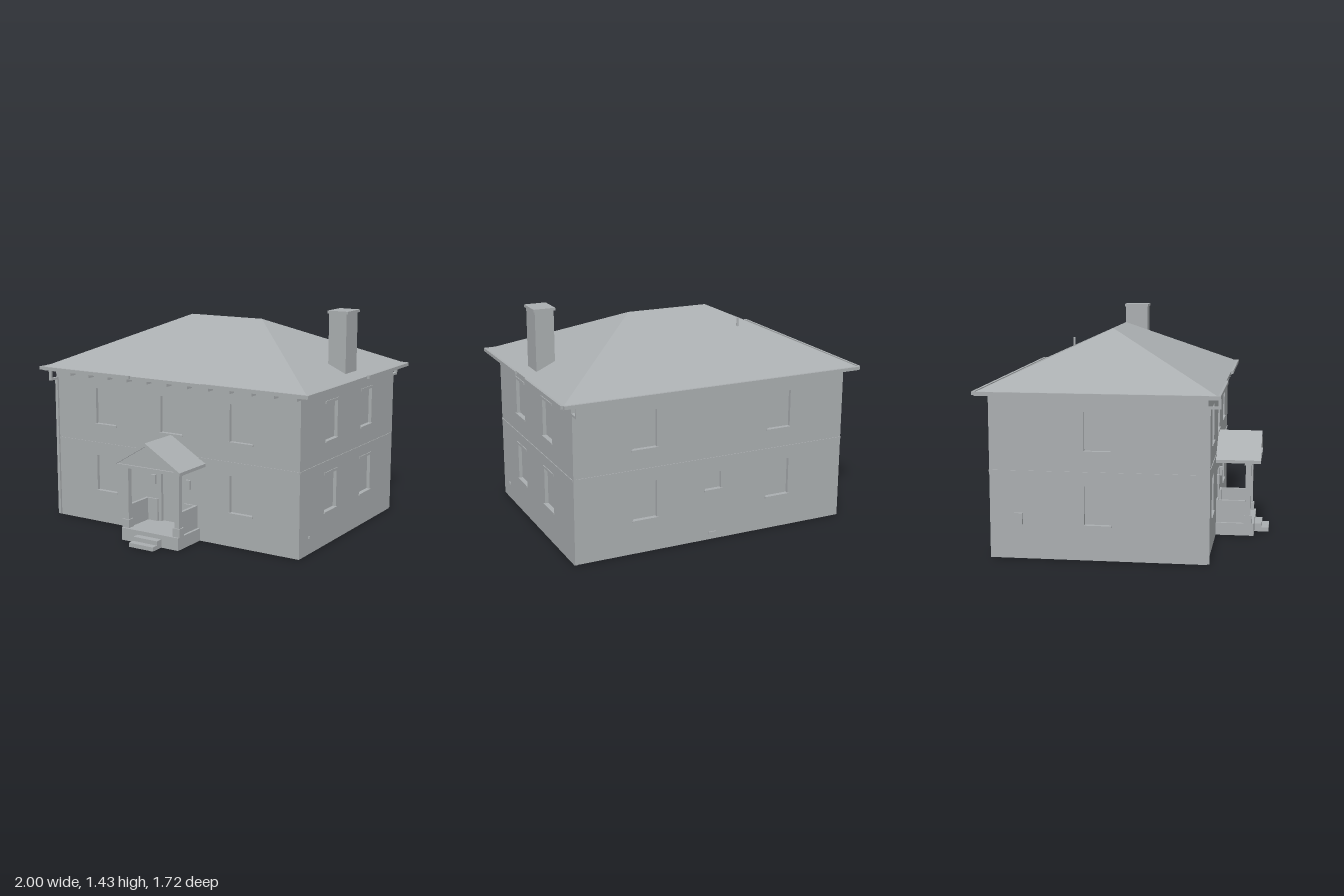
import * as THREE from 'three';

const grey = new THREE.MeshStandardMaterial({ color: 0xaaaeb0, flatShading: true, side: THREE.DoubleSide });
grey.name = 'plain grey';

// Body extents
const X0 = -0.92, X1 = 0.915, Z0 = -0.78, Z1 = 0.525, TOP = 0.99, T = 0.028;

function add(parent, name, geometry) {
  const m = new THREE.Mesh(geometry, grey);
  m.name = name;
  parent.add(m);
  return m;
}

// Box given by its limits on each axis
function box(parent, name, x0, x1, y0, y1, z0, z1) {
  const m = add(parent, name, new THREE.BoxGeometry(x1 - x0, y1 - y0, z1 - z0));
  m.position.set((x0 + x1) / 2, (y0 + y1) / 2, (z0 + z1) / 2);
  return m;
}

function polygon(points, Kind = THREE.Shape) {
  return new Kind(points.map(p => new THREE.Vector2(p[0], p[1])));
}

// Wall whose outer face is local z = 0, with recessed openings [x, y0, y1, width, head, sill]
function wall(parent, name, width, openings) {
  const g = new THREE.Group();
  g.name = name;
  parent.add(g);
  const h = width / 2;
  const shape = polygon([[-h, 0], [h, 0], [h, TOP], [-h, TOP]]);
  for (const [x, y0, y1, w, head, sill] of openings) {
    const a = x - w / 2, b = x + w / 2;
    shape.holes.push(polygon([[a, y0], [a, y1], [b, y1], [b, y0]], THREE.Path));
    box(g, sill ? 'windowPane' : 'door', a, b, y0, y1, -T, -T + 0.006);
    if (sill) box(g, 'windowSill', a - 0.006, b + 0.006, y0 - 0.01, y0, -T, 0.008);
    if (head) box(g, 'windowHead', a - 0.008, b + 0.008, y1, y1 + 0.016, -0.005, 0.005);
  }
  const geo = new THREE.ExtrudeGeometry(shape, { depth: T, bevelEnabled: false });
  geo.translate(0, 0, -T);
  add(g, 'wallPanel', geo);
  // Thin belt course between the storeys
  box(g, 'beltCourse', -h, h, 0.525, 0.537, 0, 0.004);
  return g;
}

const pair = (x, head) => [[x, 0.662, 0.895, 0.16, head, true], [x, 0.215, 0.45, 0.16, head, true]];

function buildWalls(house) {
  const cx = (X0 + X1) / 2, cz = (Z0 + Z1) / 2, w = X1 - X0, d = Z1 - Z0;
  const front = wall(house, 'frontWall', w, [
    ...pair(-0.51 - cx, false), ...pair(0.51 - cx, false),
    [-cx, 0.662, 0.895, 0.16, false, true], [-cx, 0.08, 0.4, 0.16, false, false]]);
  front.position.set(cx, 0, Z1);

  const left = wall(house, 'leftWall', d, [...pair(-0.25, true), ...pair(0.245, true)]);
  left.rotation.y = Math.PI / 2;
  left.position.set(X1, 0, cz);

  const back = wall(house, 'backWall', w, [
    ...pair(-0.46, false), ...pair(0.455, false), [0, 0.33, 0.44, 0.11, false, true]]);
  back.rotation.y = Math.PI;
  back.position.set(cx, 0, Z0);

  const right = wall(house, 'rightWall', d, pair(0, false));
  right.rotation.y = -Math.PI / 2;
  right.position.set(X0, 0, cz);

  // Small fittings
  box(house, 'meterBox', -0.938, X0, 0.21, 0.28, -0.63, -0.58);
  box(house, 'sideTap', X1, X1 + 0.008, 0.1, 0.115, 0.395, 0.41);
  box(house, 'backVent', -0.025, 0.025, 0.035, 0.05, Z0 - 0.008, Z0);
}

function buildRoof(house) {
  const ex = 0.985, zf = 0.585, zb = -0.845, y0 = 1.008, y1 = 1.335, r = 0.27, zr = -0.13;
  // Hip roof: four slopes meeting at a short ridge
  const A = [-ex, y0, zf], B = [ex, y0, zf], C = [ex, y0, zb], D = [-ex, y0, zb];
  const L = [-r, y1, zr], R = [r, y1, zr];
  const tris = [A, B, R, A, R, L, B, C, R, C, D, L, C, L, R, D, A, L];
  const geo = new THREE.BufferGeometry();
  geo.setAttribute('position', new THREE.Float32BufferAttribute(tris.flat(), 3));
  geo.computeVertexNormals();
  add(house, 'hipRoof', geo);
  box(house, 'eaves', -ex, ex, 0.987, y0, zb, zf);

  // Gutters, broken at the front centre and beside the chimney
  const g0 = 0.992, g1 = 1.013;
  box(house, 'backGutter', -ex, ex, g0, g1, -0.862, zb);
  box(house, 'rightGutter', -1, -ex, g0, g1, zb, zf);
  for (const s of [-1, 1])
    box(house, 'frontGutter', Math.min(s * r, s), Math.max(s * r, s), g0, g1, zf, 0.6);
  box(house, 'leftGutter', ex, 1, g0, g1, zb, -0.22);
  box(house, 'leftGutter', ex, 1, g0, g1, -0.045, zf);

  // Brackets under the front eave
  for (let i = -5; i <= 6; i++) {
    const x = i * 0.152;
    box(house, 'eaveBracket', x - 0.005, x + 0.005, 0.967, 0.988, Z1, 0.58);
  }

  // Downspouts with an offset under the eave
  for (const [x, z, s] of [[-0.91, Z1, 1], [0.905, Z0, -1]]) {
    const span = (a, b) => [Math.min(z + s * a, z + s * b), Math.max(z + s * a, z + s * b)];
    box(house, 'downspout', x - 0.01, x + 0.01, 0.005, 0.94, ...span(0, 0.013));
    box(house, 'downspoutOffset', x - 0.01, x + 0.01, 0.926, 0.94, ...span(0, 0.075));
    box(house, 'downspoutOutlet', x - 0.01, x + 0.01, 0.926, 0.995, ...span(0.061, 0.075));
  }

  // Chimney and vent pipe
  box(house, 'chimney', 0.795, 0.915, 1.02, 1.41, -0.208, -0.052);
  box(house, 'chimneyCap', 0.787, 0.925, 1.41, 1.427, -0.216, -0.046);
  const pipe = add(house, 'ventPipe', new THREE.CylinderGeometry(0.007, 0.007, 0.1, 10));
  pipe.position.set(-0.385, 1.235, -0.36);
}

function buildPorch(house) {
  const porch = new THREE.Group();
  porch.name = 'porch';
  house.add(porch);
  box(porch, 'porchFloor', -0.213, 0.213, 0, 0.08, Z1, 0.77);
  box(porch, 'upperStep', -0.09, 0.09, 0, 0.053, 0.77, 0.817);
  box(porch, 'lowerStep', -0.09, 0.09, 0, 0.026, 0.817, 0.862);

  for (const s of [-1, 1]) {
    const side = (name, x, w, y0, y1, z0, z1) =>
      box(porch, name, s * x - w / 2, s * x + w / 2, y0, y1, z0, z1);
    side('columnPedestal', 0.19, 0.05, 0.08, 0.133, 0.705, 0.757);
    side('column', 0.19, 0.034, 0.133, 0.462, 0.714, 0.748);
    side('columnCapital', 0.19, 0.05, 0.462, 0.482, 0.707, 0.757);
    side('railing', 0.185, 0.02, 0.08, 0.225, Z1, 0.712);
    side('railingEnd', 0.138, 0.074, 0.08, 0.225, Z1, Z1 + 0.012);
    side('wallLamp', 0.132, 0.034, 0.322, 0.382, Z1, Z1 + 0.018);
  }

  // Gable roof with a slightly recessed pediment
  const zIn = 0.49;
  const rim = polygon([[-0.255, 0.482], [0.255, 0.482], [0.255, 0.502], [0, 0.655], [-0.255, 0.502]]);
  const inner = [[-0.215, 0.502], [0, 0.632], [0.215, 0.502]];
  rim.holes.push(polygon(inner, THREE.Path));
  const rimGeo = new THREE.ExtrudeGeometry(rim, { depth: 0.81 - zIn, bevelEnabled: false });
  add(porch, 'porchRoof', rimGeo).position.z = zIn;
  const fillGeo = new THREE.ExtrudeGeometry(polygon(inner), { depth: 0.798 - zIn, bevelEnabled: false });
  add(porch, 'pediment', fillGeo).position.z = zIn;
}

export function createModel() {
  const house = new THREE.Group();
  house.name = 'house';
  buildWalls(house);
  buildRoof(house);
  buildPorch(house);
  return house;
}
